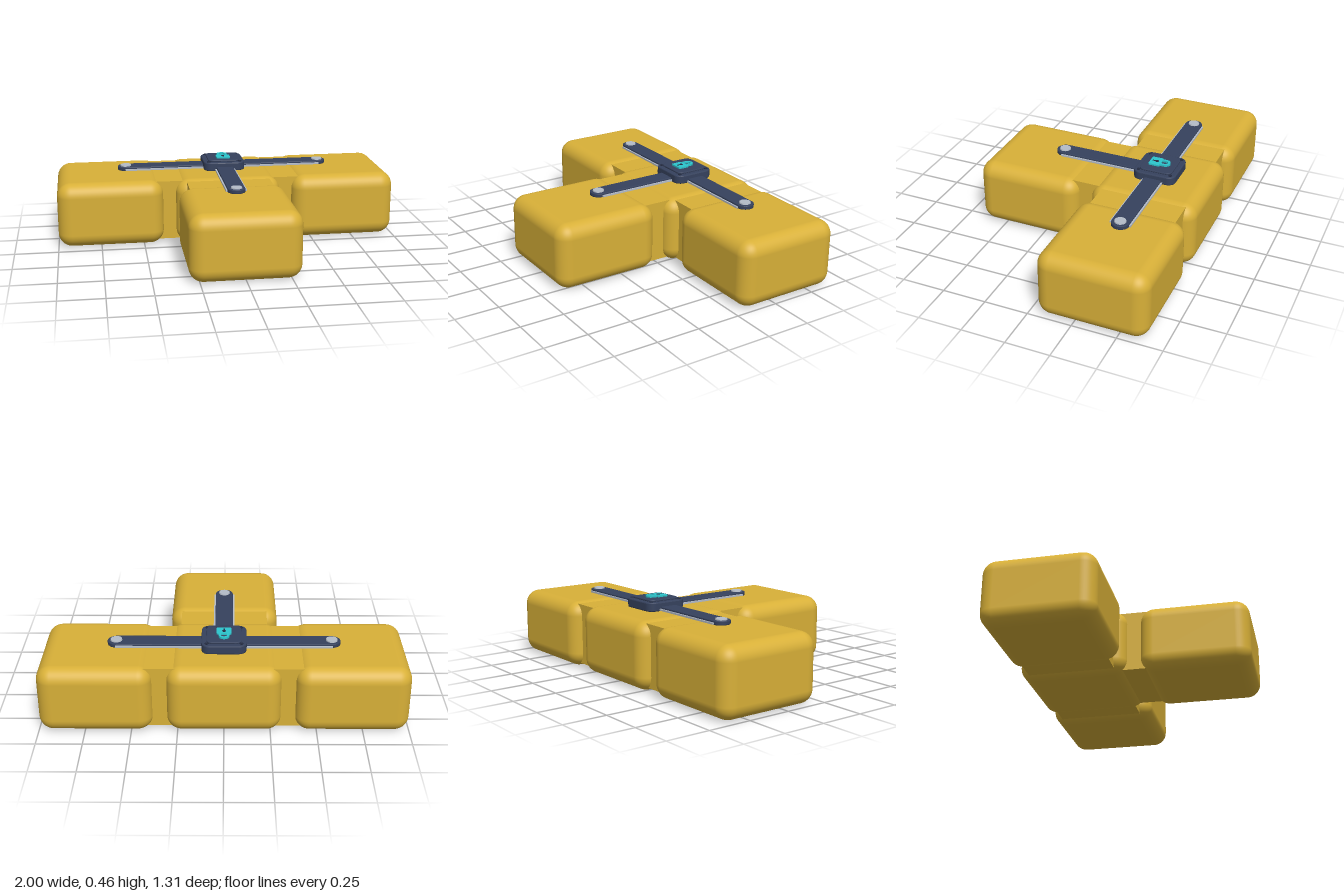
import * as THREE from 'three';
import { RoundedBoxGeometry } from 'three/addons/geometries/RoundedBoxGeometry.js';

const mat = (name, color) => Object.assign(new THREE.MeshStandardMaterial({ color }), { name });

// rounded rectangle outline centred on (cx, cy)
function roundRect(w, h, r, cx = 0, cy = 0, Type = THREE.Shape) {
  const s = new Type(), a = w / 2 - r, b = h / 2 - r, q = Math.PI / 2;
  s.absarc(cx + a, cy + b, r, 0, q);
  s.absarc(cx - a, cy + b, r, q, 2 * q);
  s.absarc(cx - a, cy - b, r, 2 * q, 3 * q);
  s.absarc(cx + a, cy - b, r, 3 * q, 4 * q);
  s.closePath();
  return s;
}

// flat plate: outline lies in the ground plane (shape +y is -z), rising from y0 to y1
function plate(shape, y0, y1, bevel = 0) {
  const g = new THREE.ExtrudeGeometry(shape, {
    depth: y1 - y0 - 2 * bevel, bevelEnabled: bevel > 0, bevelThickness: bevel,
    bevelSize: bevel, bevelOffset: -bevel, bevelSegments: 2, curveSegments: 12,
  });
  return g.rotateX(-Math.PI / 2).translate(0, y0 + bevel, 0);
}

export function createModel() {
  const gold = mat('gold', 0xd8b038);
  const navy = mat('navy', 0x36425e);
  const darkNavy = mat('dark navy', 0x242c42);
  const silver = mat('silver', 0xb4bcc8);
  const teal = mat('teal', 0x2cc6ce);

  const model = new THREE.Group();
  const add = (parent, name, geometry, material, x = 0, y = 0, z = 0) => {
    const m = new THREE.Mesh(geometry, material);
    m.name = name;
    m.position.set(x, y, z);
    parent.add(m);
    return m;
  };

  // four soft blocks in a T
  const P = 0.69, Z = -0.346;
  const block = new RoundedBoxGeometry(0.616, 0.38, 0.616, 6, 0.08);
  [[-P, Z], [0, Z], [P, Z], [0, -Z]].forEach(([x, z]) => add(model, 'block', block, gold, x, 0.19, z));

  // bridges joining the blocks
  for (const s of [-1, 1])
    add(model, 'sideBridge', new THREE.BoxGeometry(0.2, 0.35, 0.49), gold, s * 0.345, 0.195, -0.35);
  add(model, 'frontBridge', new THREE.BoxGeometry(0.49, 0.35, 0.18), gold, 0, 0.195, -0.005);

  // clamp sits over the middle block
  const clamp = new THREE.Group();
  clamp.name = 'clamp';
  clamp.position.z = -0.348;
  model.add(clamp);

  // three arms, each built along +x and turned into place
  [0, Math.PI, -Math.PI / 2].forEach((turn) => {
    const arm = new THREE.Group();
    arm.name = 'arm';
    arm.rotation.y = turn;
    clamp.add(arm);
    add(arm, 'armBar', plate(roundRect(0.635, 0.1, 0.0499, 0.3175), 0.389, 0.412, 0.004), navy);
    for (const s of [-1, 1])
      add(arm, 'armRail', new THREE.BoxGeometry(0.48, 0.01, 0.012), silver, 0.35, 0.397, s * 0.053);
    add(arm, 'pin', new THREE.CylinderGeometry(0.031, 0.034, 0.012, 16), silver, 0.587, 0.413, 0);
  });

  // hub with stepped cover and corner bolts
  add(clamp, 'hub', plate(roundRect(0.245, 0.245, 0.045), 0.388, 0.438, 0.006), navy);
  add(clamp, 'hubCover', plate(roundRect(0.19, 0.19, 0.03), 0.436, 0.448, 0.004), navy);
  for (const x of [-1, 1]) for (const z of [-1, 1])
    add(clamp, 'hubBolt', new THREE.CylinderGeometry(0.01, 0.01, 0.006, 8), darkNavy, x * 0.094, 0.439, z * 0.094);

  // padlock emblem: body, arched shackle, keyhole
  add(clamp, 'lockBody', plate(roundRect(0.082, 0.066, 0.008, 0, -0.025), 0.448, 0.457), teal);
  const shackle = new THREE.Shape();
  shackle.moveTo(0.03, 0.006);
  shackle.lineTo(0.03, 0.03);
  shackle.absarc(0, 0.03, 0.03, 0, Math.PI);
  shackle.lineTo(-0.03, 0.006);
  shackle.lineTo(-0.016, 0.006);
  shackle.lineTo(-0.016, 0.03);
  shackle.absarc(0, 0.03, 0.016, Math.PI, 0, true);
  shackle.lineTo(0.016, 0.006);
  add(clamp, 'lockShackle', plate(shackle, 0.448, 0.459), teal);
  add(clamp, 'keyhole', new THREE.CylinderGeometry(0.01, 0.01, 0.004, 16), darkNavy, 0, 0.457, 0.018);
  add(clamp, 'keySlot', new THREE.BoxGeometry(0.008, 0.004, 0.026), darkNavy, 0, 0.4568, 0.032);

  return model;
}
